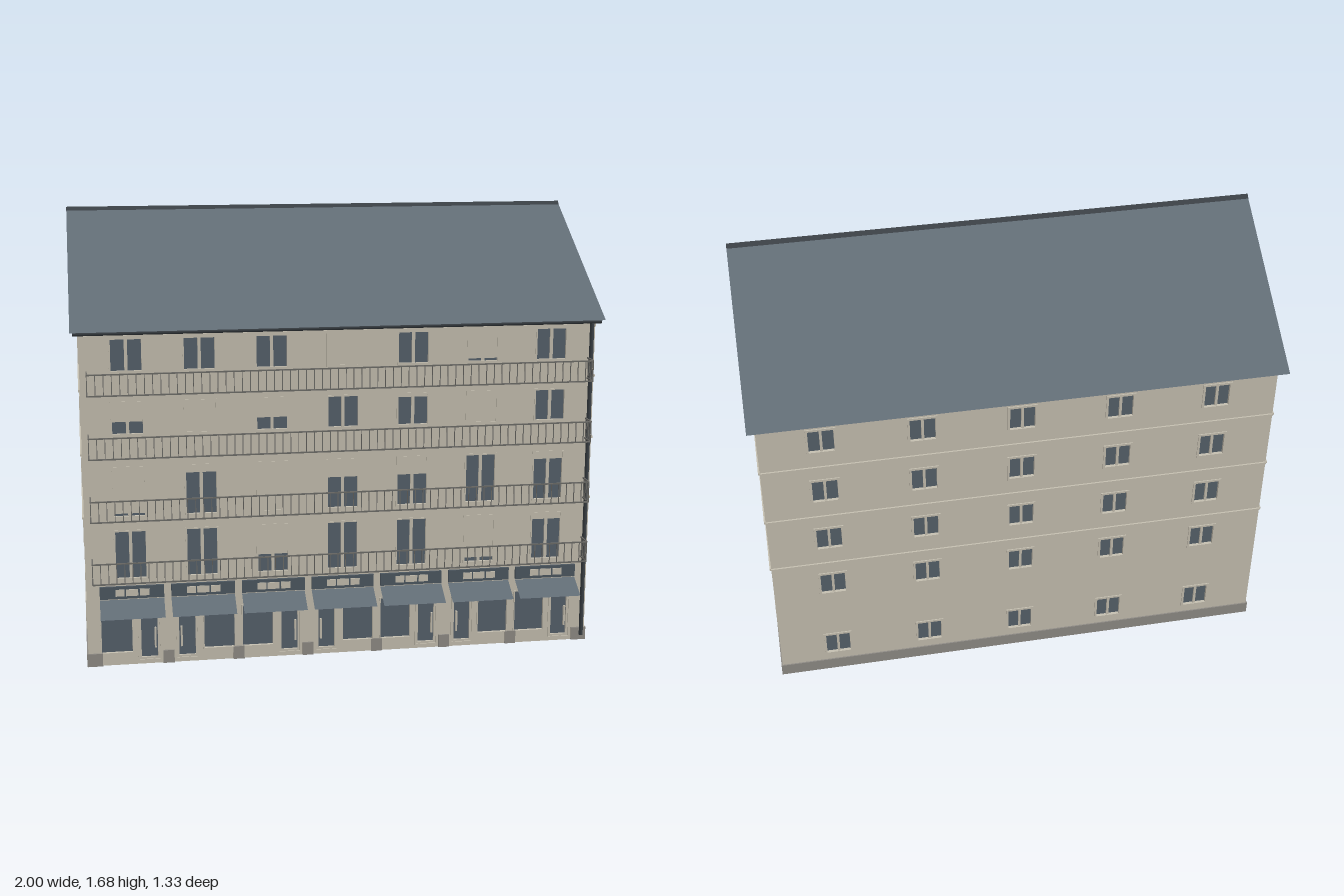
import * as THREE from 'three';

const mat = (name, color, side = THREE.FrontSide) => {
  const m = new THREE.MeshStandardMaterial({ color, side });
  m.name = name;
  return m;
};

export function createModel() {
  const D = THREE.DoubleSide;
  const plaster = mat('plaster', 0xc6c0b1, D);
  const slate = mat('slate', 0x626d76, D);
  const glass = mat('glass', 0x56616b, D);
  const stone = mat('stone', 0x8f8c86);
  const metal = mat('metal', 0x6e6d69);
  const dark = mat('darkMetal', 0x3b4146);
  const sign = mat('signBoard', 0x4d5861);

  const model = new THREE.Group();
  model.name = 'apartmentHouse';
  const add = (parent, name, geo, material, x = 0, y = 0, z = 0) => {
    const m = new THREE.Mesh(geo, material);
    m.name = name;
    m.position.set(x, y, z);
    parent.add(m);
    return m;
  };
  const box = (parent, name, material, w, h, d, x, y, z) =>
    add(parent, name, new THREE.BoxGeometry(w, h, d), material, x, y, z);
  const rect = (T, x, y, w, h) => new T([
    new THREE.Vector2(x - w / 2, y - h / 2), new THREE.Vector2(x + w / 2, y - h / 2),
    new THREE.Vector2(x + w / 2, y + h / 2), new THREE.Vector2(x - w / 2, y + h / 2)]);

  const W = 1.94, DEPTH = 1.203, ZC = -0.027, EAVE = 1.29, PEAK = 1.655;
  const FRONT = ZC + DEPTH / 2, BACK = ZC - DEPTH / 2;

  // A facade is drawn in its own x-y plane, facing local +z; openings are [x, y, w, h]
  function facade(name, width, x, z, turn, openings, gable) {
    const g = new THREE.Group();
    g.name = name;
    g.position.set(x, 0, z);
    g.rotation.y = turn;
    model.add(g);
    const pts = [[-width / 2, 0], [width / 2, 0], [width / 2, EAVE]];
    if (gable) pts.push([0, PEAK]);
    pts.push([-width / 2, EAVE]);
    const s = new THREE.Shape(pts.map(p => new THREE.Vector2(...p)));
    for (const o of openings) s.holes.push(rect(THREE.Path, ...o));
    add(g, name + 'Wall', new THREE.ShapeGeometry(s), plaster);
    return g;
  }

  const pane = (g, x, y, w, h) =>
    add(g, 'glassPane', new THREE.PlaneGeometry(w, h), glass, x, y, -0.008);
  const frame = (g, x, y, w, h, t, out) => {
    const s = rect(THREE.Shape, x, y, w + 2 * t, h + 2 * t);
    s.holes.push(rect(THREE.Path, x, y, w, h));
    add(g, 'windowFrame', new THREE.ExtrudeGeometry(s, { depth: 0.008 + out, bevelEnabled: false }),
      plaster, 0, 0, -0.008);
  };

  // Plain facades: two sides and the back with regular windows
  const rows = [0.138, 0.471, 0.707, 0.945, 1.182];
  const courses = [0.58, 0.82, 1.06];
  function plainFacade(name, width, x, z, turn, columns, gable) {
    const list = columns.flatMap(c => rows.map(r => [c, r, 0.094, 0.096]));
    const g = facade(name, width, x, z, turn, list, gable);
    for (const [wx, wy, w, h] of list) {
      pane(g, wx, wy, w, h);
      frame(g, wx, wy, w, h, 0.009, 0.004);
      box(g, 'windowMullion', plaster, 0.01, h, 0.008, wx, wy, -0.004);
    }
    for (const y of courses) box(g, 'stringCourse', plaster, width, 0.009, 0.008, 0, y, 0.002);
    box(g, 'eaveCourse', plaster, width, 0.012, 0.008, 0, EAVE - 0.006, 0.002);
    box(g, 'plinth', stone, width + 0.008, 0.05, 0.012, 0, 0.025, -0.001);
  }
  plainFacade('leftSide', DEPTH, W / 2, ZC, Math.PI / 2, [-0.352, 0, 0.352], true);
  plainFacade('rightSide', DEPTH, -W / 2, ZC, -Math.PI / 2, [-0.352, 0, 0.352], true);
  plainFacade('back', W, 0, BACK, Math.PI, [-0.74, -0.37, 0, 0.37, 0.74], false);

  // Front facade: balcony windows [sill, head, lower edge of the shutter in each bay]
  const floors = [
    [0.342, 0.522, [0.52, 0.52, 0.41, 0.52, 0.52, 0.358, 0.5]],
    [0.582, 0.765, [0.592, 0.74, 0.582, 0.7, 0.7, 0.765, 0.74]],
    [0.895, 1.01, [0.94, 0.895, 0.94, 1.01, 1.0, 0.895, 1.01]],
    [1.13, 1.246, [1.246, 1.246, 1.246, 1.13, 1.246, 1.14, 1.246]],
  ];
  const bays = [0, 1, 2, 3, 4, 5, 6].map(i => (i - 3) * 0.267);
  const windows = floors.flatMap(([a, b, low]) =>
    bays.map((x, i) => [x, (a + b) / 2, 0.112, b - a, low[i]]));
  const shops = bays.flatMap((x, i) => {
    const s = i % 2 ? -1 : 1; // doors alternate between the two ends of the bay
    return [[x - s * 0.06, 0.13, 0.115, 0.16], [x + s * 0.062, 0.108, 0.078, 0.18]];
  });
  const front = facade('front', W, 0, FRONT, 0,
    [...windows.map(w => w.slice(0, 4)), ...shops], false);

  for (const [x, y, w, h, low] of windows) {
    const top = y + h / 2;
    pane(front, x, y, w, h);
    box(front, 'windowMullion', plaster, 0.012, h, 0.006, x, y, -0.005);
    frame(front, x, y, w, h, 0.006, 0.002);
    if (top - low > 0.004)
      box(front, 'rollerShutter', plaster, w, top - low, 0.004, x, (top + low) / 2, -0.003);
  }

  // Shops: display window, door, sign and awning
  shops.forEach(([x, y, w, h], k) => {
    pane(front, x, y, w, h);
    frame(front, x, y, w, h, 0.004, 0.004);
    if (k % 2) {
      const s = (k - 1) / 2 % 2 ? -1 : 1;
      frame(front, x, y, w - 0.016, h - 0.016, 0.008, 0);
      box(front, 'doorHandle', plaster, 0.007, 0.08, 0.01, x + s * 0.022, y - 0.005, 0.002);
    }
  });
  const awningDrop = 0.05, awningReach = 0.083;
  for (const x of bays) {
    box(front, 'shopSign', sign, 0.24, 0.048, 0.01, x, 0.288, 0.005);
    for (const [dx, w] of [[-0.045, 0.034], [0, 0.046], [0.047, 0.036]])
      box(front, 'signPanel', plaster, w, 0.026, 0.004, x + dx, 0.288, 0.011);
    const awning = add(front, 'awning',
      new THREE.PlaneGeometry(0.24, Math.hypot(awningDrop, awningReach)), slate,
      x, 0.235, 0.005 + awningReach / 2);
    awning.rotation.x = -Math.atan2(awningReach, awningDrop);
  }
  for (let i = 0; i < 8; i++) {
    const end = i === 0 || i === 7;
    const x = end ? Math.sign(i - 3) * 0.945 : (i - 3.5) * 0.267;
    box(front, 'pierBase', stone, end ? 0.058 : 0.042, 0.05, 0.014, x, 0.025, 0);
  }

  // Balcony railings: rails, end returns and evenly spaced bars
  const RW = 1.89, RZ = 0.068, RH = 0.078, BARS = 64;
  for (const base of [0.342, 0.58, 0.817, 1.052]) {
    const g = new THREE.Group();
    g.name = 'balconyRailing';
    g.position.set(0, base, FRONT);
    model.add(g);
    for (const y of [0, RH]) {
      box(g, 'rail', metal, RW, 0.005, 0.005, 0, y, RZ);
      for (const s of [-1, 1]) box(g, 'endRail', metal, 0.005, 0.005, RZ, s * RW / 2, y, RZ / 2);
    }
    const bar = new THREE.BoxGeometry(0.003, RH, 0.003);
    for (let i = 0; i <= BARS; i++) add(g, 'bar', bar, metal, (i / BARS - 0.5) * RW, RH / 2, RZ);
    for (const s of [-1, 1])
      for (let i = 0; i < 4; i++) add(g, 'endBar', bar, metal, s * RW / 2, RH / 2, 0.008 + i * 0.016);
  }

  // Roof: two thin slopes and a ridge cap
  const RIDGE = 1.672, LOW = 1.278, RUN = 0.638, RZC = -0.032;
  for (const s of [-1, 1]) {
    const slope = add(model, 'roofSlope',
      new THREE.PlaneGeometry(2, Math.hypot(RUN, RIDGE - LOW)), slate,
      0, (RIDGE + LOW) / 2, RZC + s * RUN / 2);
    slope.rotation.order = 'YXZ';
    slope.rotation.y = s > 0 ? 0 : Math.PI;
    slope.rotation.x = -Math.atan2(RUN, RIDGE - LOW);
  }
  const cap = new THREE.Shape([[-0.014, 1.664], [0.014, 1.664], [0, 1.678]]
    .map(p => new THREE.Vector2(...p)));
  const ridge = add(model, 'ridgeCap',
    new THREE.ExtrudeGeometry(cap, { depth: 2, bevelEnabled: false }), dark, -1, 0, RZC);
  ridge.rotation.y = Math.PI / 2;

  // Gutter and downpipe on the front, boxed eave on the back
  const gutter = add(model, 'gutter', new THREE.CylinderGeometry(0.009, 0.009, 1.98, 10), dark,
    0, 1.272, FRONT + 0.01);
  gutter.rotation.z = Math.PI / 2;
  box(model, 'frontCornice', plaster, W, 0.012, 0.006, 0, 1.256, FRONT + 0.003);
  add(model, 'downpipe', new THREE.CylinderGeometry(0.008, 0.008, 1.25, 10), dark,
    0.955, 0.645, FRONT + 0.008);
  box(model, 'backEave', plaster, W, 0.014, 0.012, 0, 1.28, BACK - 0.004);

  return model;
}
